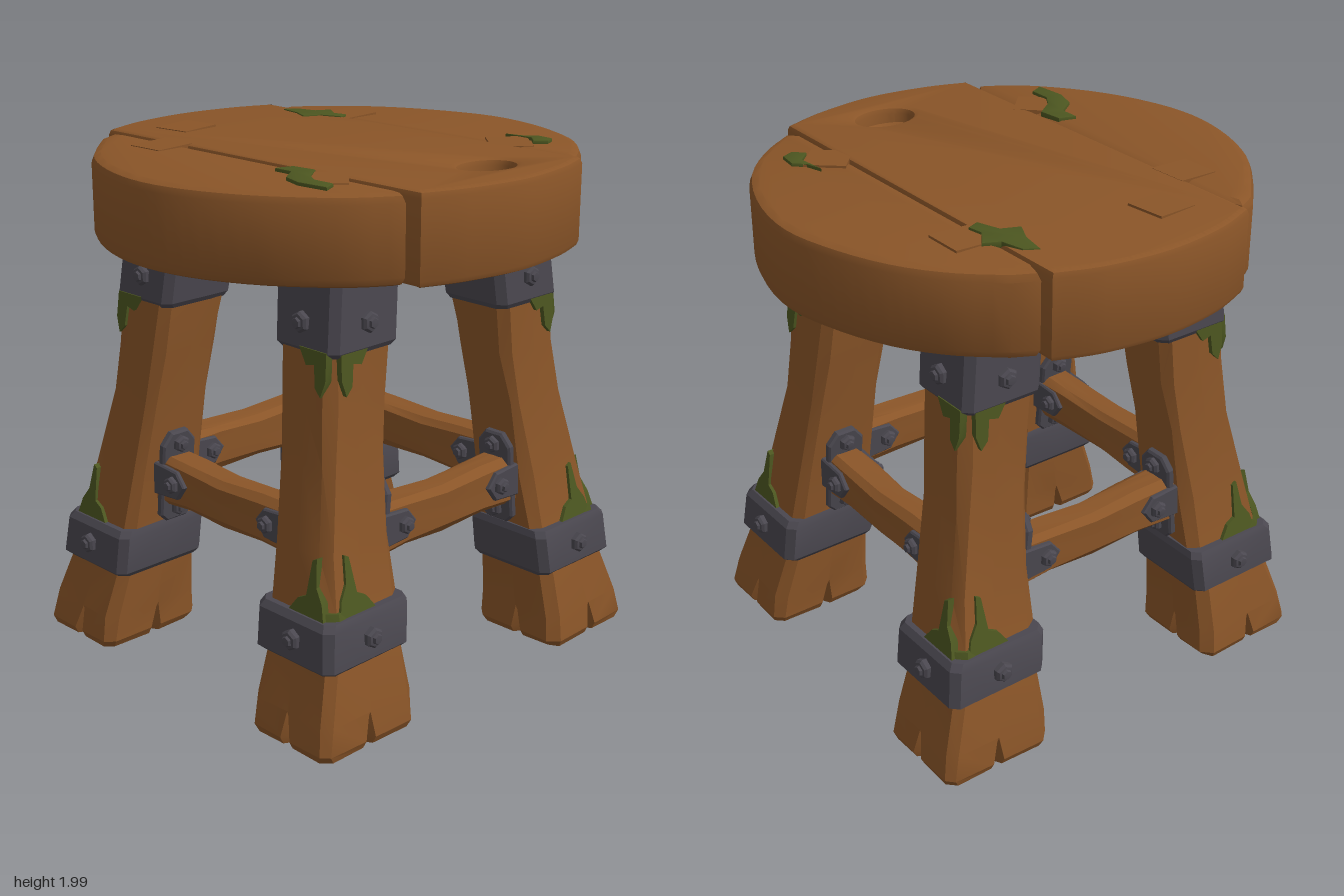
import * as THREE from 'three';
import { toCreasedNormals } from 'three/addons/utils/BufferGeometryUtils.js';

const material = (name, color) => Object.assign(new THREE.MeshStandardMaterial({ color }), { name });
const V2 = (p) => new THREE.Vector2(p[0], p[1]);

// Small seeded noise for hand-hewn wood
let seed = 7;
const wobble = (a) => {
  seed = (seed * 16807) % 2147483647;
  return (seed / 2147483647 - 0.5) * 2 * a;
};

// Add a mesh through a matrix, flipping the winding when it mirrors
function put(parent, name, geo, mat, matrix = new THREE.Matrix4()) {
  const g = geo.index ? geo.toNonIndexed() : geo.clone();
  g.applyMatrix4(matrix);
  if (matrix.determinant() < 0) {
    const p = g.attributes.position, a = new THREE.Vector3(), b = new THREE.Vector3();
    for (let i = 0; i < p.count; i += 3) {
      a.fromBufferAttribute(p, i + 1);
      b.fromBufferAttribute(p, i + 2);
      p.setXYZ(i + 1, b.x, b.y, b.z);
      p.setXYZ(i + 2, a.x, a.y, a.z);
    }
  }
  const mesh = new THREE.Mesh(toCreasedNormals(g, 0.45), mat);
  mesh.name = name;
  parent.add(mesh);
}

// Chamfered rectangular loft; sections are [y, x0, x1, z0, z1, splitDepth]
function loft(sections, c, rough = 0) {
  const pos = [], idx = [], n = 20;
  for (const [y, x0, x1, z0, z1, split = 0] of sections) {
    const corners = [[x0, z1], [x1, z1], [x1, z0], [x0, z0]].map(V2);
    corners.forEach((p, k) => {
      const q = corners[(k + 1) % 4];
      const d = q.clone().sub(p).normalize(), inward = new THREE.Vector2(d.y, -d.x);
      const mid = p.clone().lerp(q, 0.52), w = 0.006 + split * 0.4;
      const ring = [
        p.clone().addScaledVector(d, c), mid.clone().addScaledVector(d, -w),
        mid.clone().addScaledVector(inward, split),
        mid.clone().addScaledVector(d, w), q.clone().addScaledVector(d, -c),
      ];
      ring.forEach((v, j) => {
        const r = j % 4 ? 0 : rough;
        pos.push(v.x + wobble(r), y, v.y + wobble(r));
      });
    });
  }
  const last = sections.length - 1;
  for (let i = 0; i < last; i++) for (let k = 0; k < n; k++) {
    const a = i * n + k, b = i * n + (k + 1) % n;
    idx.push(a, b, b + n, a, b + n, a + n);
  }
  for (const i of [0, last]) {
    const [y, x0, x1, z0, z1] = sections[i], centre = pos.length / 3;
    pos.push((x0 + x1) / 2, y, (z0 + z1) / 2);
    for (let k = 0; k < n; k++) {
      const a = i * n + k, b = i * n + (k + 1) % n;
      idx.push(centre, i ? a : b, i ? b : a);
    }
  }
  const g = new THREE.BufferGeometry();
  g.setAttribute('position', new THREE.Float32BufferAttribute(pos, 3));
  g.setIndex(idx);
  return g;
}

const extrude = (shape, depth, bevel = 0, segments = 2) => new THREE.ExtrudeGeometry(shape, {
  depth: depth - 2 * bevel, bevelEnabled: bevel > 0, bevelSize: bevel, bevelThickness: bevel,
  bevelOffset: -bevel, bevelSegments: segments, curveSegments: 20,
}).translate(0, 0, bevel);

// Lay an outline given in x, z flat, with its underside at y
const slab = (shape, y, depth, bevel) => extrude(shape, depth, bevel).rotateX(-Math.PI / 2).translate(0, y, 0);
const outline = (pts) => new THREE.Shape(pts.map(([x, z]) => new THREE.Vector2(x, -z)));

// Hex bolt pointing along +z
const bolt = (x, y, z, r = 0.04) => new THREE.LatheGeometry(
  [[0, -0.015], [r, -0.015], [r, 0.012], [r * 0.8, 0.022], [r * 0.55, 0.024], [r * 0.45, 0.034], [0, 0.036]].map(V2), 6,
).rotateX(Math.PI / 2).translate(x, y, z);

// Leg sections; the outer faces are at columns 2 (x) and 4 (z)
const LEG = [
  [0, 0.42, 0.85, 0.43, 0.81, 0.045], [0.03, 0.4, 0.865, 0.415, 0.825, 0.045],
  [0.13, 0.405, 0.84, 0.415, 0.81, 0], [0.3, 0.405, 0.79, 0.405, 0.77],
  [0.5, 0.39, 0.75, 0.4, 0.72], [0.7, 0.38, 0.715, 0.385, 0.67], [1.0, 0.35, 0.655, 0.35, 0.625],
  [1.2, 0.32, 0.625, 0.33, 0.605], [1.4, 0.295, 0.605, 0.305, 0.59], [1.67, 0.27, 0.57, 0.29, 0.575],
];
function outerFace(y, col) {
  const i = Math.max(1, LEG.findIndex((s) => s[0] >= y));
  const a = LEG[i - 1], b = LEG[i];
  return THREE.MathUtils.mapLinear(y, a[0], b[0], a[col], b[col]);
}

// Moss clinging to the outer face of a leg, facing +z
function faceMoss(pts, col) {
  const g = extrude(new THREE.Shape(pts.map(V2)), 0.03);
  const p = g.attributes.position;
  for (let i = 0; i < p.count; i++) p.setZ(i, outerFace(p.getY(i), col) + p.getZ(i) - 0.015);
  return g;
}

export function createModel() {
  const model = new THREE.Group();
  model.name = 'stool';
  const wood = material('wood', 0x8a5528);
  const iron = material('iron', 0x4a474f);
  const moss = material('moss', 0x4c5620);

  // Seat planks
  const seat = new THREE.Group();
  seat.name = 'seat';
  model.add(seat);
  const middle = new THREE.Shape();
  middle.moveTo(-0.43, -0.83);
  middle.splineThru([[-0.25, -0.89], [0, -0.925], [0.25, -0.89], [0.43, -0.83]].map(V2));
  middle.lineTo(0.435, 0.84);
  middle.splineThru([[0.25, 0.905], [0, 0.935], [-0.25, 0.905], [-0.435, 0.84]].map(V2));
  middle.closePath();
  middle.holes.push(new THREE.Path().absellipse(0.075, -0.68, 0.12, 0.085, 0, Math.PI * 2, true));
  put(seat, 'middlePlank', slab(middle, 1.65, 0.335, 0.025), wood);
  const bowl = new THREE.LatheGeometry(
    [[0, 1.649], [0.17, 1.649], [0.17, 1.93], [0.13, 1.93], [0.08, 1.9], [0, 1.89]].map(V2), 20);
  put(seat, 'knotHole', bowl.scale(1, 1, 0.75).translate(0.075, 0, 0.68), wood);

  const rims = {
    leftPlank: [[0.54, -0.755], [0.69, -0.62], [0.81, -0.45], [0.9, -0.22], [0.94, 0], [0.9, 0.25], [0.78, 0.51], [0.62, 0.68], [0.47, 0.78]],
    rightPlank: [[-0.54, -0.755], [-0.69, -0.6], [-0.81, -0.45], [-0.91, -0.22], [-0.945, 0], [-0.91, 0.22], [-0.8, 0.46], [-0.62, 0.68], [-0.46, 0.79]],
  };
  for (const [name, rim] of Object.entries(rims)) {
    const s = Math.sign(rim[0][0]);
    const curve = new THREE.CatmullRomCurve3(rim.map(([x, z]) => new THREE.Vector3(x, 0, z)));
    const arc = curve.getPoints(28).map((v) => [v.x, v.z]);
    const shape = outline([[s * 0.425, -0.72], [s * 0.45, -0.8], ...arc, [s * 0.425, 0.74]]);
    put(seat, name, slab(shape, 1.655, 0.322, 0.035), wood);
  }

  // Square pegs set slightly proud of the seat
  for (const [x, z, turn] of [[-0.49, -0.44, 0.03], [-0.2, -0.645, 0.1], [0.505, -0.445, 0], [-0.49, 0.44, 0.8], [0.485, 0.44, 0.85]]) {
    const peg = new THREE.BoxGeometry(0.17, 0.03, 0.16).rotateZ(0.035).rotateY(turn);
    put(seat, 'peg', peg.translate(x, Math.abs(x) > 0.4 ? 1.968 : 1.976, z), wood);
  }

  // Moss on the seat
  const patches = [
    [[0.36, -0.68], [0.41, -0.65], [0.43, -0.56], [0.49, -0.53], [0.44, -0.46], [0.45, -0.4], [0.4, -0.38], [0.37, -0.47], [0.3, -0.5], [0.34, -0.58]],
    [[-0.45, 0.24], [-0.44, 0.34], [-0.52, 0.4], [-0.56, 0.46], [-0.56, 0.55], [-0.62, 0.58], [-0.63, 0.45], [-0.6, 0.36], [-0.52, 0.3], [-0.52, 0.22]],
    [[0.57, 0.35], [0.59, 0.42], [0.63, 0.46], [0.62, 0.54], [0.57, 0.56], [0.53, 0.52], [0.58, 0.47]],
  ];
  for (const pts of patches) put(seat, 'seatMoss', slab(outline(pts), 1.965, 0.025, 0.004), moss);

  // One corner of the frame, in the +x +z quadrant
  const swap = new THREE.Matrix4().set(0, 0, 1, 0, 0, 1, 0, 0, 1, 0, 0, 0, 0, 0, 0, 1);
  const same = new THREE.Matrix4();
  const parts = [];
  const both = (name, mat, make) => [4, 2].forEach((col) => parts.push([name, make(col), mat, col === 4 ? same : swap]));
  parts.push(['leg', loft(LEG, 0.035, 0.007), wood, same]);
  parts.push(['lowerBand', loft([
    [0.3, 0.4, 0.79, 0.4, 0.76], [0.32, 0.385, 0.812, 0.385, 0.78],
    [0.465, 0.37, 0.795, 0.38, 0.765], [0.49, 0.38, 0.775, 0.39, 0.75],
  ], 0.03), iron, same]);
  parts.push(['upperBand', loft([
    [1.385, 0.29, 0.6, 0.305, 0.595], [1.405, 0.277, 0.615, 0.292, 0.607], [1.655, 0.25, 0.585, 0.272, 0.59],
  ], 0.03), iron, same]);
  parts.push(['bandMoss', loft([[0.47, 0.55, 0.77, 0.55, 0.745], [0.515, 0.58, 0.755, 0.57, 0.725]], 0.04, 0.008), moss, same]);
  both('lowerBolt', iron, (c) => bolt(0.59, 0.4, c === 4 ? 0.775 : 0.805));
  both('upperBolt', iron, (c) => bolt(0.44, 1.495, c === 4 ? 0.6 : 0.605));
  both('lowerMoss', moss, (c) => faceMoss(
    [[0.52, 0.47], [0.57, 0.54], [0.61, 0.56], [0.62, 0.69], [0.64, 0.7], [0.655, 0.6], [0.69, 0.55], [0.715, 0.47]], c));
  both('upperMoss', moss, (c) => faceMoss(
    [[0.44, 1.41], [0.48, 1.35], [0.52, 1.36], [0.53, 1.28], [0.56, 1.25], [0.58, 1.31], [0.575, 1.41]], c));

  // Brackets joining each leg to its two stretchers
  const plate = new THREE.Shape([[-0.08, -0.16], [-0.05, -0.19], [0.05, -0.19], [0.08, -0.16],
    [0.08, 0.14], [0.04, 0.19], [-0.04, 0.19], [-0.08, 0.14]].map(V2));
  const tab = new THREE.Shape([[0.39, 0.62], [0.39, 0.755], [0.25, 0.745], [0.205, 0.69], [0.25, 0.63]].map(V2));
  const ontoLeg = (g) => g.rotateY(-Math.PI / 2).rotateZ(0.1).translate(0.375, 0.69, 0.54);
  both('bracketPlate', iron, () => ontoLeg(extrude(plate, 0.035, 0.008, 1)));
  for (const y of [-0.135, 0.14]) both('bracketBolt', iron, () => ontoLeg(bolt(0, y, 0.035, 0.035)));
  both('outerTab', iron, () => extrude(tab, 0.03, 0.006, 1).translate(0, 0, 0.6));
  both('innerTab', iron, () => extrude(tab, 0.03, 0.006, 1).translate(0, 0, 0.45));
  both('outerTabBolt', iron, () => bolt(0.27, 0.69, 0.63, 0.035));
  both('innerTabBolt', iron, () => bolt(0, 0, 0, 0.035).rotateY(Math.PI).translate(0.27, 0.69, 0.45));

  for (const [side, sx] of [['Left', 1], ['Right', -1]]) for (const [end, sz] of [['front', 1], ['back', -1]]) {
    const corner = new THREE.Group();
    corner.name = `${end}${side}Leg`;
    model.add(corner);
    const mirror = new THREE.Matrix4().makeScale(sx, 1, sz);
    for (const [name, geo, mat, m] of parts) put(corner, name, geo, mat, mirror.clone().multiply(m));
  }

  // Stretchers between the legs
  const beam = loft([
    [-0.42, -0.1, 0.1, -0.075, 0.075], [-0.2, -0.095, 0.09, -0.07, 0.07], [0.02, -0.1, 0.085, -0.065, 0.07],
    [0.22, -0.1, 0.092, -0.07, 0.07], [0.42, -0.11, 0.1, -0.075, 0.075],
  ], 0.025, 0.006).rotateZ(Math.PI / 2).translate(0, 0.68, 0.54);
  ['front', 'left', 'back', 'right'].forEach((name, k) =>
    put(model, `${name}Stretcher`, beam, wood, new THREE.Matrix4().makeRotationY(k * Math.PI / 2)));
  return model;
}
